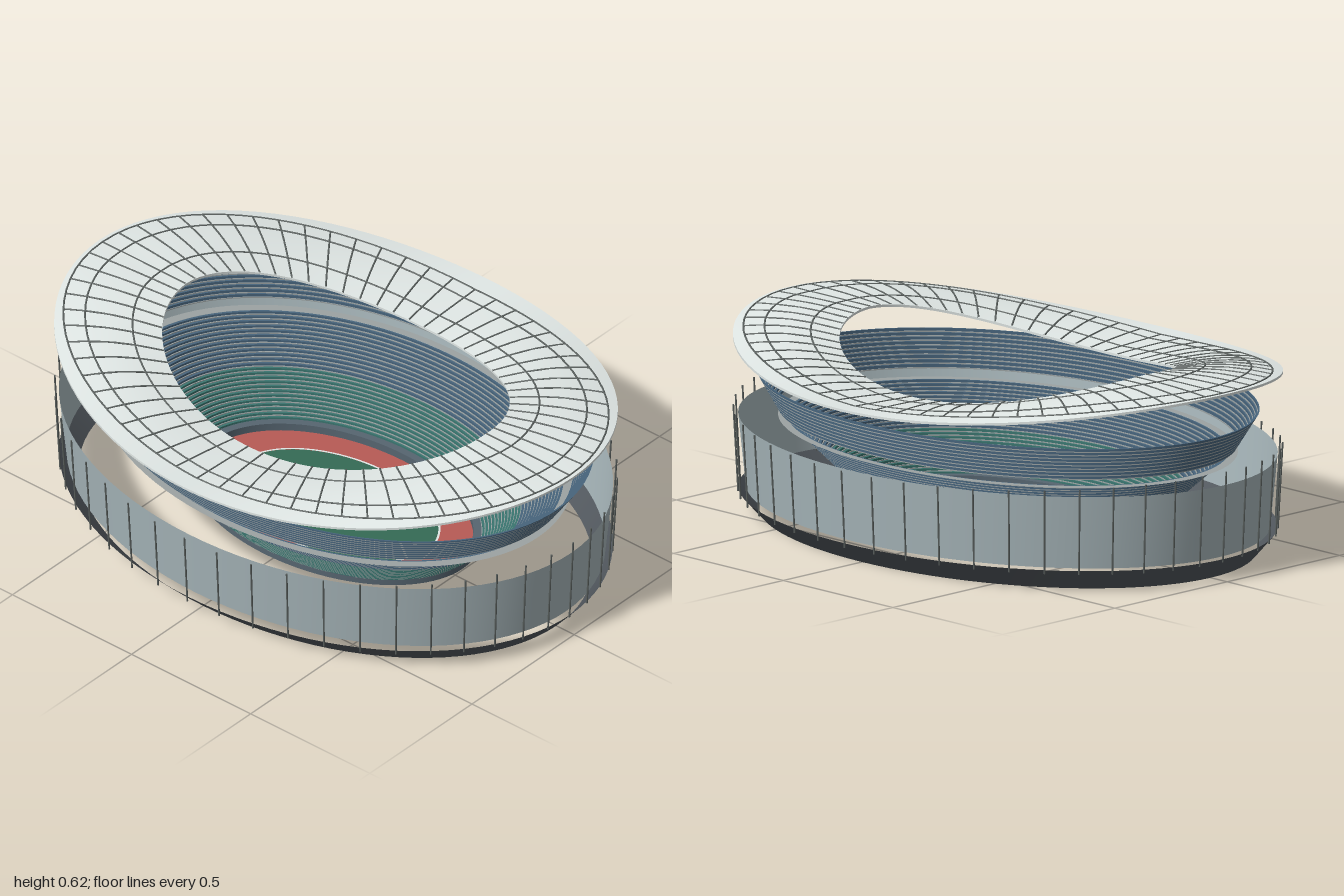
import * as THREE from 'three';

const mat = (name, color) => {
  const m = new THREE.MeshStandardMaterial({ color, side: THREE.DoubleSide });
  m.name = name;
  return m;
};

const SEG = 96;
const COLUMNS = 48;
const RIBS = 64;

export function createModel() {
  const group = new THREE.Group();
  group.name = 'stadium';

  const roofGrey = mat('roof pale grey', 0xe1e8e6);
  const steel = mat('steel grey', 0x5a605e);
  const facadeGrey = mat('facade blue grey', 0xa8b7bb);
  const baseDark = mat('base charcoal', 0x50565c);
  const seatBlue = mat('seat blue', 0x47647c);
  const seatTeal = mat('seat teal', 0x3a7670);
  const concrete = mat('concrete', 0x9ca3a3);
  const wallGrey = mat('pitch wall grey', 0x566570);
  const trackRed = mat('track red', 0xb75a55);
  const grass = mat('grass green', 0x356b55);

  const add = (name, geo, material, parent = group) => {
    const mesh = new THREE.Mesh(geo, material);
    mesh.name = name;
    parent.add(mesh);
    return mesh;
  };

  // Sweeps a profile round an ellipse. Each point is [rx, rz, y], y may be a
  // function of the angle. Creased bands do not share vertices, and each band
  // is a geometry group whose material comes from bandMaterial.
  const sweep = (profile, creased = true, bandMaterial = () => 0) => {
    const pos = [], idx = [];
    const geo = new THREE.BufferGeometry();
    const ring = ([rx, rz, y]) => {
      const start = pos.length / 3;
      for (let i = 0; i < SEG; i++) {
        const a = (i / SEG) * Math.PI * 2;
        pos.push(rx * Math.cos(a), typeof y === 'function' ? y(a) : y, rz * Math.sin(a));
      }
      return start;
    };
    let prev = ring(profile[0]);
    for (let k = 1; k < profile.length; k++) {
      if (creased && k > 1) prev = ring(profile[k - 1]);
      const next = ring(profile[k]);
      geo.addGroup(idx.length, SEG * 6, bandMaterial(k - 1));
      for (let i = 0; i < SEG; i++) {
        const j = (i + 1) % SEG;
        idx.push(prev + i, next + i, prev + j, prev + j, next + i, next + j);
      }
      prev = next;
    }
    geo.setAttribute('position', new THREE.Float32BufferAttribute(pos, 3));
    geo.setIndex(idx);
    geo.computeVertexNormals();
    return geo;
  };
  // Profiles from bottom to top face outward, from outer to inner face up
  const flat = (outer, inner, y) => sweep([[...outer, y], [...inner, y]]);

  // Base and facade, both open shells
  add('base', sweep([[0.925, 0.65, 0], [0.985, 0.72, 0.072]]), baseDark);
  add('facade', sweep([[0.965, 0.69, 0.075], [0.988, 0.717, 0.315]]), facadeGrey);

  // Slim facade columns, leaning outward and taller at the two ends
  const strut = (a, b, r) => {
    const dir = b.clone().sub(a);
    const geo = new THREE.CylinderGeometry(r, r, dir.length(), 12);
    geo.applyQuaternion(new THREE.Quaternion().setFromUnitVectors(
      new THREE.Vector3(0, 1, 0), dir.normalize()));
    const c = a.clone().add(b).multiplyScalar(0.5);
    return geo.translate(c.x, c.y, c.z);
  };
  const columns = new THREE.Group();
  columns.name = 'facadeColumns';
  group.add(columns);
  for (let i = 0; i < COLUMNS; i++) {
    const a = (i / COLUMNS) * Math.PI * 2, c = Math.cos(a), s = Math.sin(a);
    add('facadeColumn', strut(
      new THREE.Vector3(0.98 * c, 0.06, 0.727 * s),
      new THREE.Vector3(0.996 * c, 0.315 + 0.045 * c * c, 0.742 * s), 0.003), steel, columns);
  }

  // Pitch, line, track and the wall around it
  const pitchY = 0.04;
  add('grassField', flat([0.38, 0.24], [0, 0], pitchY), grass);
  add('fieldLine', flat([0.385, 0.245], [0.378, 0.238], pitchY + 0.002), roofGrey);
  add('runningTrack', flat([0.505, 0.325], [0.38, 0.24], pitchY), trackRed);
  add('pitchWall', sweep([[0.532, 0.35, pitchY], [0.532, 0.35, 0.066],
    [0.505, 0.325, 0.066], [0.505, 0.325, pitchY]]), wallGrey);

  // Stepped seating tiers: each row is a low concrete step and a seat step
  const STEP = 0.3;
  const tier = (name, [rx0, rz0, y0], [rx1, rz1, y1], rows, material) => {
    const at = (t, u) => [rx0 + (rx1 - rx0) * t, rz0 + (rz1 - rz0) * t, y0 + (y1 - y0) * u];
    const pts = [at(0, 0)];
    for (let i = 0; i < rows; i++) {
      const a = i / rows, b = (i + STEP) / rows, c = (i + 1) / rows;
      pts.push(at(a, b), at(b, b), at(b, c), at(c, c));
    }
    // Reversed, every four bands start with the two seat faces
    add(name, sweep(pts.reverse(), true, (k) => (k % 4 < 2 ? 0 : 1)), [material, concrete]);
  };
  tier('lowerTier', [0.532, 0.35, 0.06], [0.67, 0.455, 0.185], 12, seatTeal);
  tier('middleTier', [0.67, 0.455, 0.185], [0.818, 0.575, 0.312], 12, seatBlue);
  add('concourse', flat([0.85, 0.6], [0.818, 0.575], 0.313), concrete);
  tier('upperTier', [0.85, 0.6, 0.34], [0.93, 0.657, 0.457], 9, seatBlue);

  // Saddle-shaped roof ring: t runs from the inner to the outer edge
  const roofY = (a, t) => 0.563 + 0.048 * Math.cos(2 * a)
    - 0.014 * (1 - t) * Math.abs(Math.sin(a))
    + 0.018 * Math.sin(Math.PI * t) * Math.abs(Math.sin(2 * a));
  const roofR = (t) => [0.63 + 0.365 * t, 0.43 + 0.317 * t];
  const roofRing = (t, dy) => [...roofR(t), (a) => roofY(a, t) + dy];
  const steps = [0, 0.25, 0.5, 0.75, 1];
  const half = 0.004;
  add('roofTop', sweep(steps.map((t) => roofRing(t, half)).reverse(), false), roofGrey);
  add('roofUnderside', sweep(steps.map((t) => roofRing(t, -half)), false), roofGrey);
  add('roofOuterEdge', sweep([roofRing(1, -half), roofRing(1, half)]), roofGrey);
  add('roofInnerEdge', sweep([roofRing(0, half), roofRing(0, -half)]), roofGrey);

  // Roof ribs and hoops; the frame stops further from the rim at front and back
  const framePoint = (a, f) => {
    const t = f * (0.79 + 0.17 * Math.cos(a) ** 2);
    const [rx, rz] = roofR(t);
    return new THREE.Vector3(rx * Math.cos(a), roofY(a, t) + half, rz * Math.sin(a));
  };
  const frame = new THREE.Group();
  frame.name = 'roofFrame';
  group.add(frame);
  for (let i = 0; i < RIBS; i++) {
    const a = (i / RIBS) * Math.PI * 2;
    const curve = new THREE.CatmullRomCurve3([0, 0.25, 0.5, 0.75, 1].map((f) => framePoint(a, f)));
    add('roofRib', new THREE.TubeGeometry(curve, 8, 0.003, 12), steel, frame);
  }
  for (const f of [0.3, 0.78, 1]) {
    const pts = [];
    for (let i = 0; i < SEG; i++) pts.push(framePoint((i / SEG) * Math.PI * 2, f));
    add('roofHoop', new THREE.TubeGeometry(
      new THREE.CatmullRomCurve3(pts, true), SEG, 0.003, 12, true), steel, frame);
  }
  return group;
}
